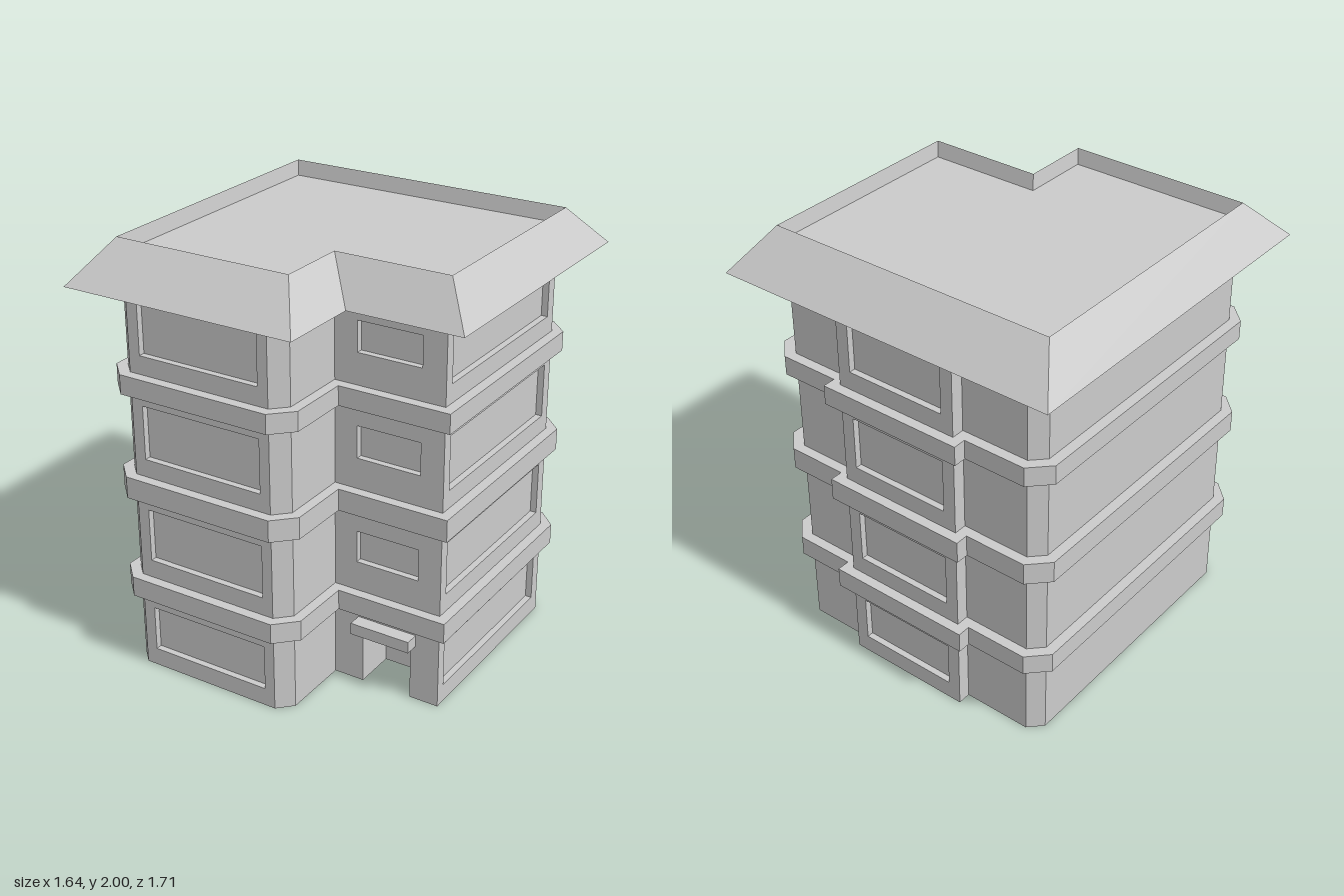
import * as THREE from 'three';

const grey = new THREE.MeshStandardMaterial({ color: 0xcccccc, flatShading: true });
const greyDouble = new THREE.MeshStandardMaterial({ color: 0xcccccc, flatShading: true, side: THREE.DoubleSide });

const EAVE = 1.815, TOP = 2, RECESS = 0.03;

// Building footprint as [x, z], walked so each wall runs left to right seen from outside
const footprint = [
  [-0.62, 0.71], [0.08, 0.71], [0.145, 0.645], [0.145, 0.32], [0.67, 0.32],
  [0.67, -0.645], [0.61, -0.705], [0.3, -0.705], [0.3, -0.765], [-0.3, -0.765],
  [-0.3, -0.705], [-0.62, -0.705], [-0.68, -0.645], [-0.68, 0.65],
];

// Window openings per wall: [start, end] along the wall, and [bottom, top] rows
const tallRows = [[0.085, 0.3], [0.545, 0.795], [1.04, 1.29], [1.52, 1.76]];
const smallRows = [[0.6, 0.75], [1.1, 1.25], [1.58, 1.72]];
const windows = {
  0: { span: [0.055, 0.65], rows: tallRows },
  3: { span: [0.11, 0.415], rows: smallRows },
  4: { span: [0.05, 0.91], rows: tallRows },
  8: { span: [0.06, 0.54], rows: tallRows },
};
const door = { wall: 3, from: 0.145, to: 0.385, height: 0.27, depth: 0.2 };

function mesh(name, geometry, material = grey) {
  const m = new THREE.Mesh(geometry, material);
  m.name = name;
  return m;
}

const shapeOf = (pts) => new THREE.Shape(pts.map(([x, y]) => new THREE.Vector2(x, y)));
const planShape = (pts) => shapeOf(pts.map(([x, z]) => [x, -z]));
const rect = (x0, y0, x1, y1) => [[x0, y0], [x1, y0], [x1, y1], [x0, y1]];
const extrude = (shape, depth) => new THREE.ExtrudeGeometry(shape, { depth, bevelEnabled: false });

// Flat horizontal cap at height y
function cap(pts, y) {
  return new THREE.ShapeGeometry(planShape(pts)).rotateX(-Math.PI / 2).translate(0, y, 0);
}

// Mitred outward offset of a plan outline
function offset(pts, d) {
  const n = pts.length;
  const normal = (i) => {
    const a = pts[i % n], b = pts[(i + 1) % n];
    const dx = b[0] - a[0], dz = b[1] - a[1], l = Math.hypot(dx, dz);
    return [-dz / l, dx / l];
  };
  return pts.map((p, i) => {
    const a = normal(i + n - 1), b = normal(i);
    const k = d / (1 + a[0] * b[0] + a[1] * b[1]);
    return [p[0] + (a[0] + b[0]) * k, p[1] + (a[1] + b[1]) * k];
  });
}

// One wall panel with cut openings and recessed panes
function buildWall(i) {
  const a = footprint[i], b = footprint[(i + 1) % footprint.length];
  const dx = b[0] - a[0], dz = b[1] - a[1], length = Math.hypot(dx, dz);
  const wall = new THREE.Group();
  wall.name = 'wall';
  wall.position.set(a[0], 0, a[1]);
  wall.rotation.y = Math.atan2(-dz, dx);

  const outline = [[0, 0], [length, 0], [length, EAVE], [0, EAVE]];
  if (i === door.wall) {
    outline.splice(1, 0, [door.from, 0], [door.from, door.height], [door.to, door.height], [door.to, 0]);
  }
  const shape = shapeOf(outline);
  const { span, rows } = windows[i] ?? { span: [], rows: [] };
  for (const [y0, y1] of rows) {
    shape.holes.push(new THREE.Path(shapeOf(rect(span[0], y0, span[1], y1)).getPoints().reverse()));
    const pane = mesh('windowPane', new THREE.BoxGeometry(span[1] - span[0] + 0.02, y1 - y0 + 0.02, 0.01));
    pane.position.set((span[0] + span[1]) / 2, (y0 + y1) / 2, -RECESS - 0.005);
    wall.add(pane);
  }
  wall.add(mesh('wallPanel', extrude(shape, RECESS).translate(0, 0, -RECESS)));
  if (i === door.wall) wall.add(buildEntrance());
  return wall;
}

// Deep doorway with a small canopy above it
function buildEntrance() {
  const entrance = new THREE.Group();
  entrance.name = 'entrance';
  const { from, to, height, depth } = door, t = 0.02, mid = (from + to) / 2;
  const frame = shapeOf([
    [from - t, 0], [from, 0], [from, height], [to, height],
    [to, 0], [to + t, 0], [to + t, height + t], [from - t, height + t],
  ]);
  entrance.add(mesh('doorwayLining', extrude(frame, depth - 0.01).translate(0, 0, -depth)));
  const back = mesh('door', new THREE.BoxGeometry(to - from + 2 * t, height + t, 0.01));
  back.position.set(mid, (height + t) / 2, -depth - 0.005);
  const canopy = mesh('doorCanopy', new THREE.BoxGeometry(0.29, 0.055, 0.075));
  canopy.position.set(mid, 0.2975, 0.0275);
  entrance.add(back, canopy);
  return entrance;
}

// L-shaped roof outline
const roofRing = (x0, x1, z0, z1, nx, nz) => [[x0, z1], [nx, z1], [nx, nz], [x1, nz], [x1, z0], [x0, z0]];

// Faces joining successive rings {pts, y}
function loft(rings) {
  const pos = [];
  for (let r = 0; r + 1 < rings.length; r++) {
    const at = (k, i) => {
      const { pts, y } = rings[k], p = pts[i % pts.length];
      return [p[0], y, p[1]];
    };
    for (let i = 0; i < rings[r].pts.length; i++) {
      const A = at(r, i), B = at(r, i + 1), C = at(r + 1, i + 1), D = at(r + 1, i);
      pos.push(...A, ...B, ...C, ...A, ...C, ...D);
    }
  }
  const g = new THREE.BufferGeometry();
  g.setAttribute('position', new THREE.Float32BufferAttribute(pos, 3));
  g.computeVertexNormals();
  return g;
}

// Sloped skirt roof around a sunken flat deck
function buildRoof() {
  const roof = new THREE.Group();
  roof.name = 'roof';
  const eave = roofRing(-0.825, 0.82, -0.855, 0.85, 0.29, 0.465);
  const rim = roofRing(-0.69, 0.69, -0.67, 0.66, 0.155, 0.335);
  const deck = roofRing(-0.68, 0.68, -0.655, 0.645, 0.145, 0.32);
  const deckY = TOP - 0.07;
  roof.add(
    mesh('roofSlopes', loft([{ pts: eave, y: EAVE }, { pts: rim, y: TOP }, { pts: deck, y: deckY }]), greyDouble),
    mesh('roofDeck', cap(deck, deckY), greyDouble),
    mesh('soffit', cap(eave, EAVE), greyDouble),
  );
  return roof;
}

export function createModel() {
  const model = new THREE.Group();
  model.name = 'apartmentBlock';

  footprint.forEach((_, i) => model.add(buildWall(i)));

  // Projecting bands between the storeys
  const bandOutline = planShape(offset(footprint, 0.047));
  for (const [y0, y1] of [[0.365, 0.46], [0.855, 0.957], [1.345, 1.435]]) {
    const g = extrude(bandOutline, y1 - y0).rotateX(-Math.PI / 2).translate(0, y0, 0);
    model.add(mesh('storeyBand', g));
  }

  // Underside, notched at the doorway
  const x0 = 0.145 + door.from, x1 = 0.145 + door.to, zIn = 0.32 - door.depth;
  const base = footprint.slice();
  base.splice(4, 0, [x0, 0.32], [x0, zIn], [x1, zIn], [x1, 0.32]);
  model.add(mesh('baseSlab', cap(base, 0), greyDouble));

  model.add(buildRoof());
  return model;
}
